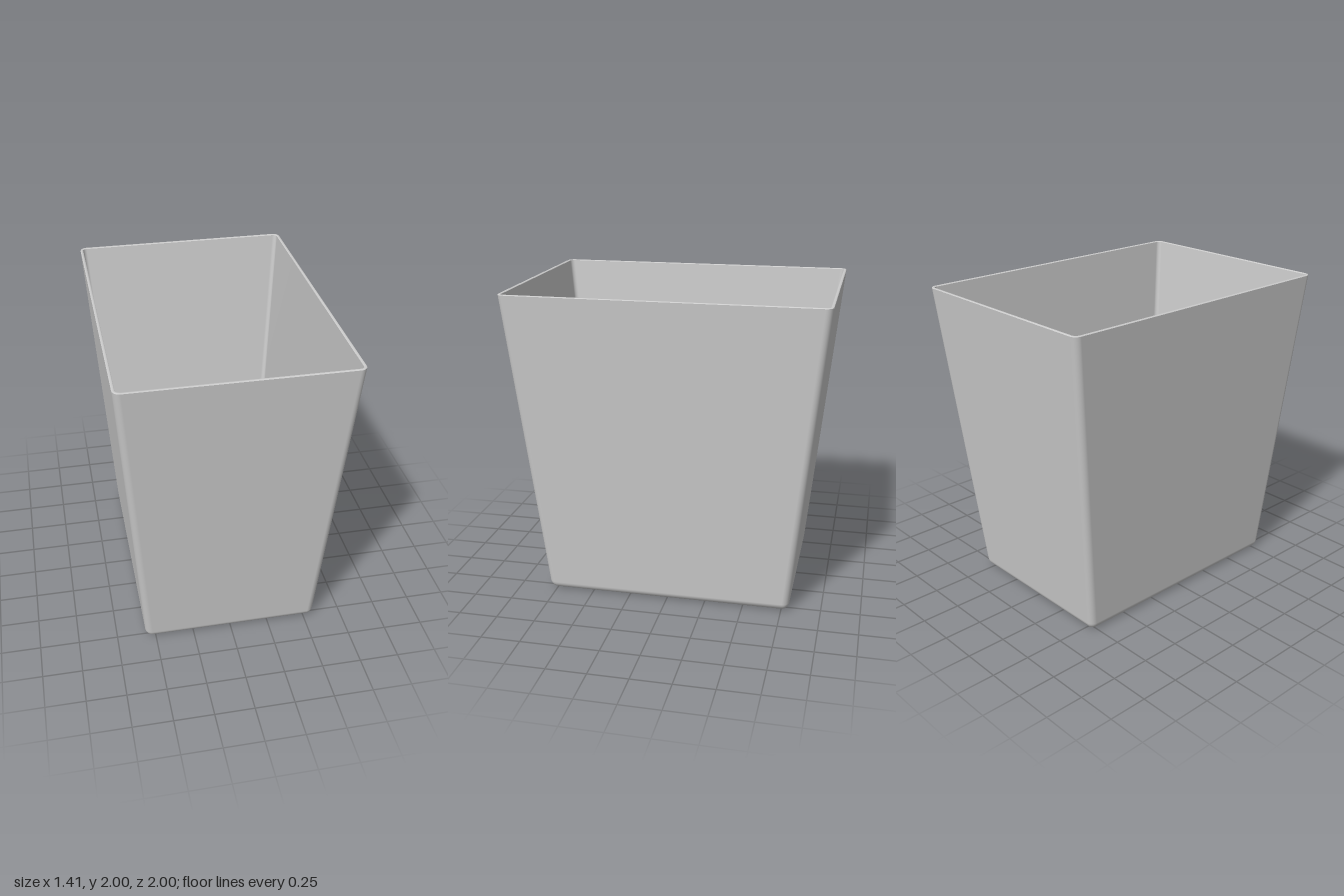
import * as THREE from 'three';

const WALL = 0.018, FLOOR = 0.022, TOP = 2, SEG = 6;

// Half width and half depth of the tapered outside at height y
const halfX = y => 0.563 + 0.071 * y;
const halfZ = y => 0.795 + 0.1025 * y;

// Horizontal rounded-rectangle section, drawn in by `inset`
function section(y, inset, corner) {
  const r = Math.max(corner - inset, 0.006);
  const hx = halfX(y) - inset - r, hz = halfZ(y) - inset - r;
  const ring = [];
  [[1, 1], [-1, 1], [-1, -1], [1, -1]].forEach(([sx, sz], k) => {
    for (let i = 0; i <= SEG; i++) {
      const a = (k + i / SEG) * Math.PI / 2;
      ring.push([sx * hx + r * Math.cos(a), y, sz * hz + r * Math.sin(a)]);
    }
  });
  return ring;
}

// Skin a list of sections; optionally close the first or last one
function loft(name, rings, material, cap) {
  const n = rings[0].length, index = [];
  const points = rings.flat();
  for (let i = 0; i < rings.length - 1; i++) {
    for (let j = 0; j < n; j++) {
      const a = i * n + j, b = i * n + (j + 1) % n;
      index.push(a, a + n, b, b, a + n, b + n);
    }
  }
  if (cap) {
    const start = cap === 'first' ? 0 : (rings.length - 1) * n;
    const centre = points.length;
    points.push([0, points[start][1], 0]);
    for (let j = 0; j < n; j++) {
      const a = start + j, b = start + (j + 1) % n;
      if (cap === 'first') index.push(centre, a, b);
      else index.push(centre, b, a);
    }
  }
  const geometry = new THREE.BufferGeometry();
  geometry.setAttribute('position', new THREE.Float32BufferAttribute(points.flat(), 3));
  geometry.setIndex(index);
  geometry.computeVertexNormals();
  const mesh = new THREE.Mesh(geometry, material);
  mesh.name = name;
  return mesh;
}

// Rounded bottom edge, listed from the floor up to the wall
function fillet(base, radius, inset, corner) {
  return Array.from({ length: SEG + 1 }, (_, i) => {
    const a = i / SEG * Math.PI / 2;
    return section(base + radius * (1 - Math.cos(a)), inset + radius * (1 - Math.sin(a)), corner);
  });
}

export function createModel() {
  const group = new THREE.Group();
  group.name = 'wasteBin';
  const material = new THREE.MeshStandardMaterial({ color: 0xcccccc });
  const bevel = 0.004, corner = 0.045;

  // Outer walls and underside
  const outer = [...fillet(0, 0.05, 0, corner), section(TOP - bevel, 0, corner)];
  group.add(loft('outerShell', outer, material, 'first'));

  // Thin rim with softened edges
  const rim = [
    section(TOP - bevel, 0, corner),
    section(TOP, bevel, corner),
    section(TOP, WALL - bevel, corner),
    section(TOP - bevel, WALL, corner),
  ];
  group.add(loft('rim', rim, material));

  // Inner walls and floor
  const inner = [section(TOP - bevel, WALL, corner), ...fillet(FLOOR, 0.025, WALL, corner).reverse()];
  group.add(loft('innerShell', inner, material, 'last'));

  return group;
}
